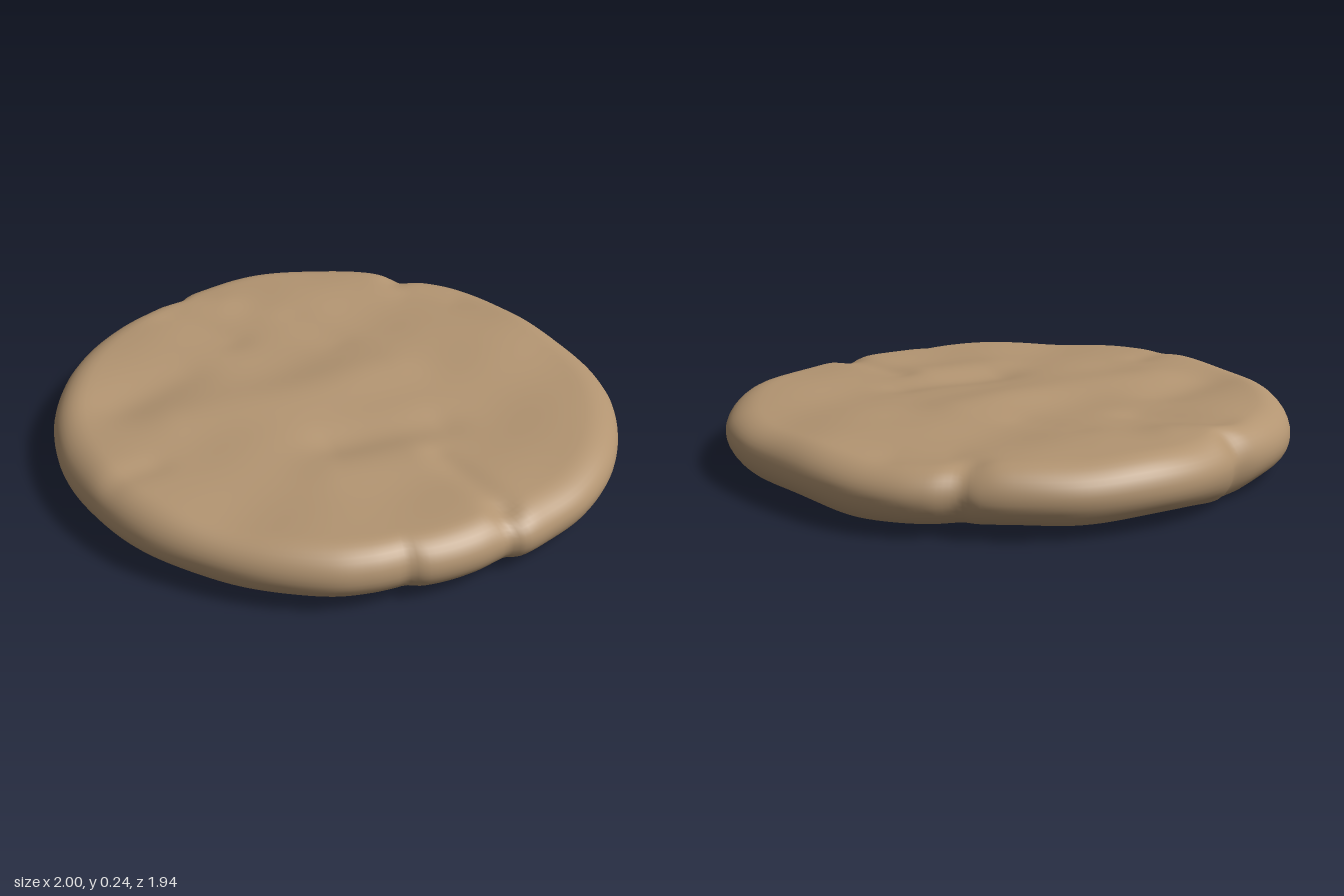
import * as THREE from 'three';
import { mergeVertices } from 'three/addons/utils/BufferGeometryUtils.js';

// Slightly notched round outline, as x, z pairs running from front to left, back and right
const OUTLINE = [
  0, .97, .12, .95, .19, .925, .23, .908, .28, .91, .36, .885, .46, .835, .53, .785, .56, .765, .61, .758,
  .71, .68, .83, .56, .93, .39, .985, .2, 1, 0, .985, -.12, .94, -.27, .85, -.44, .73, -.62, .6, -.77,
  .48, -.85, .38, -.88, .28, -.885, .24, -.915, .13, -.95, -.08, -.97, -.31, -.925, -.48, -.845,
  -.61, -.735, -.642, -.68, -.67, -.66, -.73, -.62, -.83, -.52, -.92, -.38, -.98, -.2, -1, 0,
  -.985, .16, -.92, .37, -.8, .57, -.62, .755, -.4, .875, -.2, .945,
];

// Ridges (positive) and creases (negative): x1, z1, x2, z2, width, height
const TOP_FOLDS = [
  [-.55, .2, .2, -.15, .13, .015], [0, .33, .35, .2, .09, -.015], [0, .48, .25, .42, .12, .013],
  [.35, .4, .53, .66, .05, -.009], [.54, .7, .6, .82, .05, -.02], [-.62, -.5, -.4, -.35, .08, -.012],
  [-.6, -.62, -.45, -.6, .1, .014], [-.63, -.67, -.7, -.74, .045, -.02], [.3, -.72, .45, -.68, .09, -.01],
  [.24, -.82, .27, -.95, .05, -.014], [-.15, -.75, .1, -.7, .18, .01], [-.75, .1, -.55, -.1, .1, -.01],
  [-.72, .57, -.6, .48, .06, -.008], [-.15, -.5, 0, -.35, .08, -.007], [.35, -.4, .6, -.5, .15, .008],
];
const BOTTOM_FOLDS = [
  [-.09, .62, -.69, -.3, .04, .008], [-.33, .25, -.5, 0, .05, .01],
  [-.6, -.6, -.5, -.5, .15, -.03], [.5, .2, .3, -.3, .15, -.006],
];

function foldHeight(folds, x, z) {
  let sum = 0;
  for (const [x1, z1, x2, z2, width, height] of folds) {
    const dx = x2 - x1, dz = z2 - z1;
    const t = THREE.MathUtils.clamp(((x - x1) * dx + (z - z1) * dz) / (dx * dx + dz * dz), 0, 1);
    const d = Math.hypot(x - x1 - t * dx, z - z1 - t * dz) / width;
    sum += height * Math.exp(-d * d);
  }
  return sum;
}

// Gentle hand-pressed unevenness
const ripple = (x, z) =>
  .004 * Math.sin(5 * x + 7 * z + 1) + .003 * Math.sin(11 * x - 6 * z) + .002 * Math.sin(9 * z + 14 * x + 2);

function flatRoundGeometry() {
  const SEGMENTS = 300, RINGS = 36, ARC = 18;
  const half = .097, inner = .885;

  // Half cross-section: underside, rounded rim, upper side
  const profile = [];
  for (let i = 0; i < RINGS; i++) profile.push(new THREE.Vector2(inner * i / RINGS, -half));
  for (let i = 0; i <= ARC; i++) {
    const a = -Math.PI / 2 + Math.PI * i / ARC;
    profile.push(new THREE.Vector2(inner + (1 - inner) * Math.cos(a), half * Math.sin(a)));
  }
  for (let i = RINGS - 1; i >= 0; i--) profile.push(new THREE.Vector2(inner * i / RINGS, half));

  const corners = [];
  for (let i = 0; i < OUTLINE.length; i += 2) corners.push(new THREE.Vector3(OUTLINE[i], 0, OUTLINE[i + 1]));
  const edge = new THREE.CatmullRomCurve3(corners, true).getSpacedPoints(SEGMENTS);
  edge[SEGMENTS].copy(edge[0]);

  // Stretch each column to the outline, then press the folds into both faces
  const geometry = new THREE.LatheGeometry(profile, SEGMENTS);
  const position = geometry.attributes.position;
  edge.forEach((p, column) => profile.forEach((q, row) => {
    const angle = Math.atan2(p.x, p.z);
    // Outline notches fade toward the centre
    const blend = THREE.MathUtils.smoothstep(q.x, .6, 1);
    const radius = q.x * THREE.MathUtils.lerp(.97, p.length(), blend);
    const x = radius * Math.sin(angle), z = radius * Math.cos(angle);
    const side = q.y / half;
    const folds = side > 0 ? foldHeight(TOP_FOLDS, x, z) - .012 * x : foldHeight(BOTTOM_FOLDS, x, z);
    const lift = Math.abs(side) * (folds + ripple(x, z)) + .006 * Math.sin(2 * x - 3 * z) * q.x;
    position.setXYZ(column * profile.length + row, x, q.y + lift, z);
  }));

  // Join the seam so the shading stays smooth all round
  geometry.deleteAttribute('normal');
  geometry.deleteAttribute('uv');
  const joined = mergeVertices(geometry, 1e-5);
  joined.computeVertexNormals();
  joined.computeBoundingBox();
  joined.translate(0, -joined.boundingBox.min.y, 0);
  return joined;
}

export function createModel() {
  const group = new THREE.Group();
  group.name = 'flatDough';
  const dough = new THREE.MeshStandardMaterial({ color: 0xb29471 });
  dough.name = 'tan dough';
  const disc = new THREE.Mesh(flatRoundGeometry(), dough);
  disc.name = 'doughDisc';
  group.add(disc);
  return group;
}
